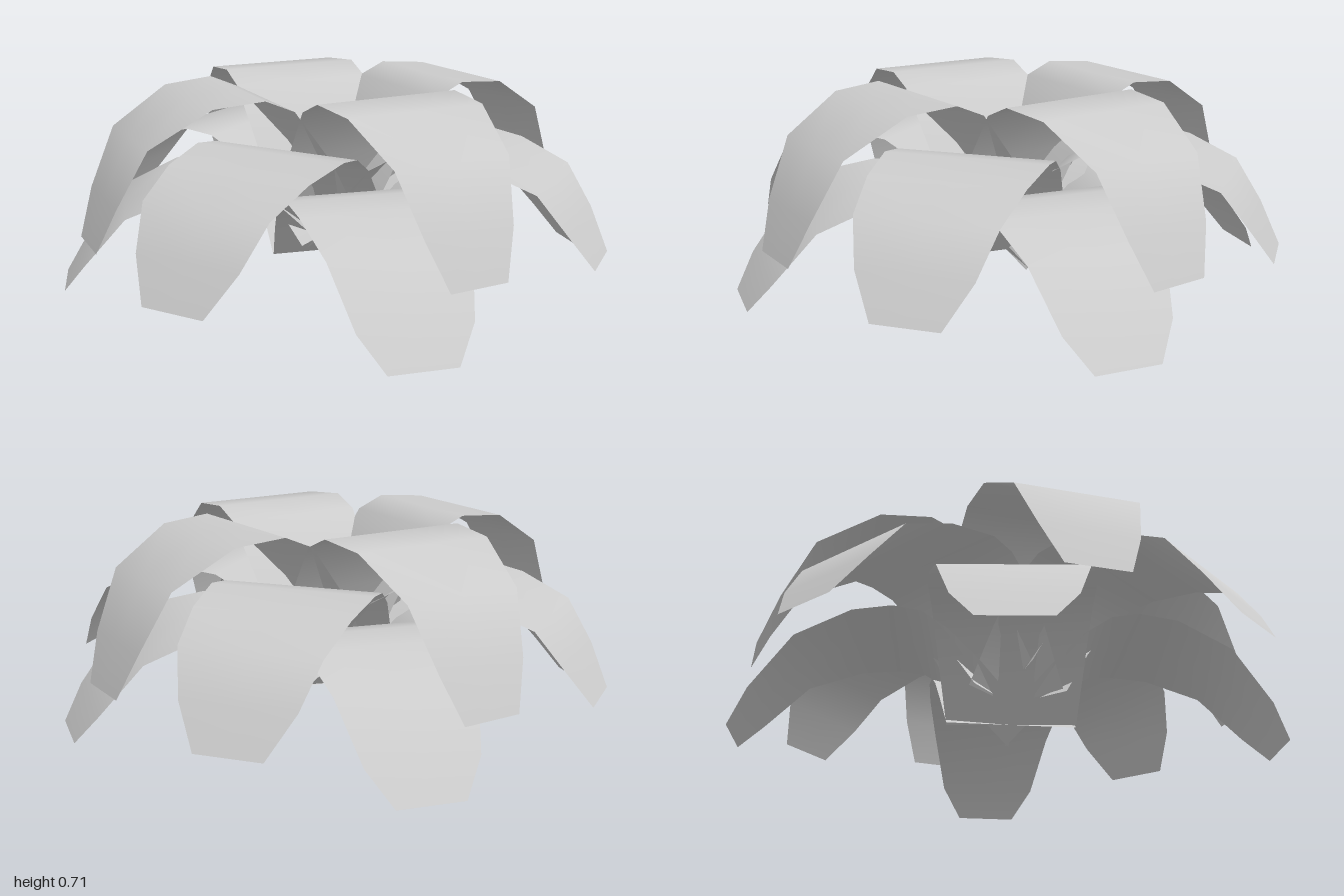
import * as THREE from 'three';

const material = new THREE.MeshStandardMaterial({ color: 0xcccccc, side: THREE.DoubleSide });

// Each tier: petal profile rows [distance from centre, height, half width] and petal directions in degrees
const tiers = [
  {
    name: 'lowerPetal',
    angles: [45.4, 131.5, 219.5, 315],
    rows: [[0, 0.06, 0.235], [0.12, 0.2, 0.255], [0.23, 0.31, 0.27], [0.33, 0.375, 0.28], [0.43, 0.39, 0.285],
      [0.57, 0.375, 0.275], [0.77, 0.29, 0.24], [0.92, 0.11, 0.19], [0.995, 0, 0.115]],
  },
  {
    name: 'middlePetal',
    angles: [6, 96, 180, 270],
    rows: [[0, 0.14, 0.235], [0.13, 0.33, 0.255], [0.25, 0.46, 0.275], [0.35, 0.52, 0.285], [0.45, 0.533, 0.29],
      [0.64, 0.5, 0.27], [0.82, 0.425, 0.24], [0.92, 0.285, 0.195], [1, 0.15, 0.115]],
  },
  {
    name: 'upperPetal',
    angles: [59, 146, 235, 328],
    rows: [[0, 0.22, 0.235], [0.13, 0.47, 0.255], [0.275, 0.665, 0.27], [0.38, 0.71, 0.27],
      [0.56, 0.695, 0.257], [0.77, 0.57, 0.214], [0.87, 0.37, 0.166], [0.93, 0.21, 0.107]],
  },
];

// A thin strip arching outward along +x, built row by row
function petalGeometry(rows) {
  const columns = [-1, 0, 1];
  const positions = [];
  const indices = [];
  rows.forEach(([r, y, w], i) => {
    columns.forEach((c, j) => {
      positions.push(r, y, c * w);
      if (i > 0 && j > 0) {
        const d = i * 3 + j;
        const [a, b, e] = [d - 4, d - 3, d - 1];
        indices.push(a, b, e, b, d, e);
      }
    });
  });
  const geometry = new THREE.BufferGeometry();
  geometry.setAttribute('position', new THREE.Float32BufferAttribute(positions, 3));
  geometry.setIndex(indices);
  geometry.computeVertexNormals();
  return geometry;
}

export function createModel() {
  const flower = new THREE.Group();
  flower.name = 'flower';
  for (const { name, angles, rows } of tiers) {
    const geometry = petalGeometry(rows);
    angles.forEach((angle, i) => {
      const petal = new THREE.Mesh(geometry, material);
      petal.name = name + (i + 1);
      petal.rotation.y = THREE.MathUtils.degToRad(angle);
      flower.add(petal);
    });
  }
  return flower;
}
